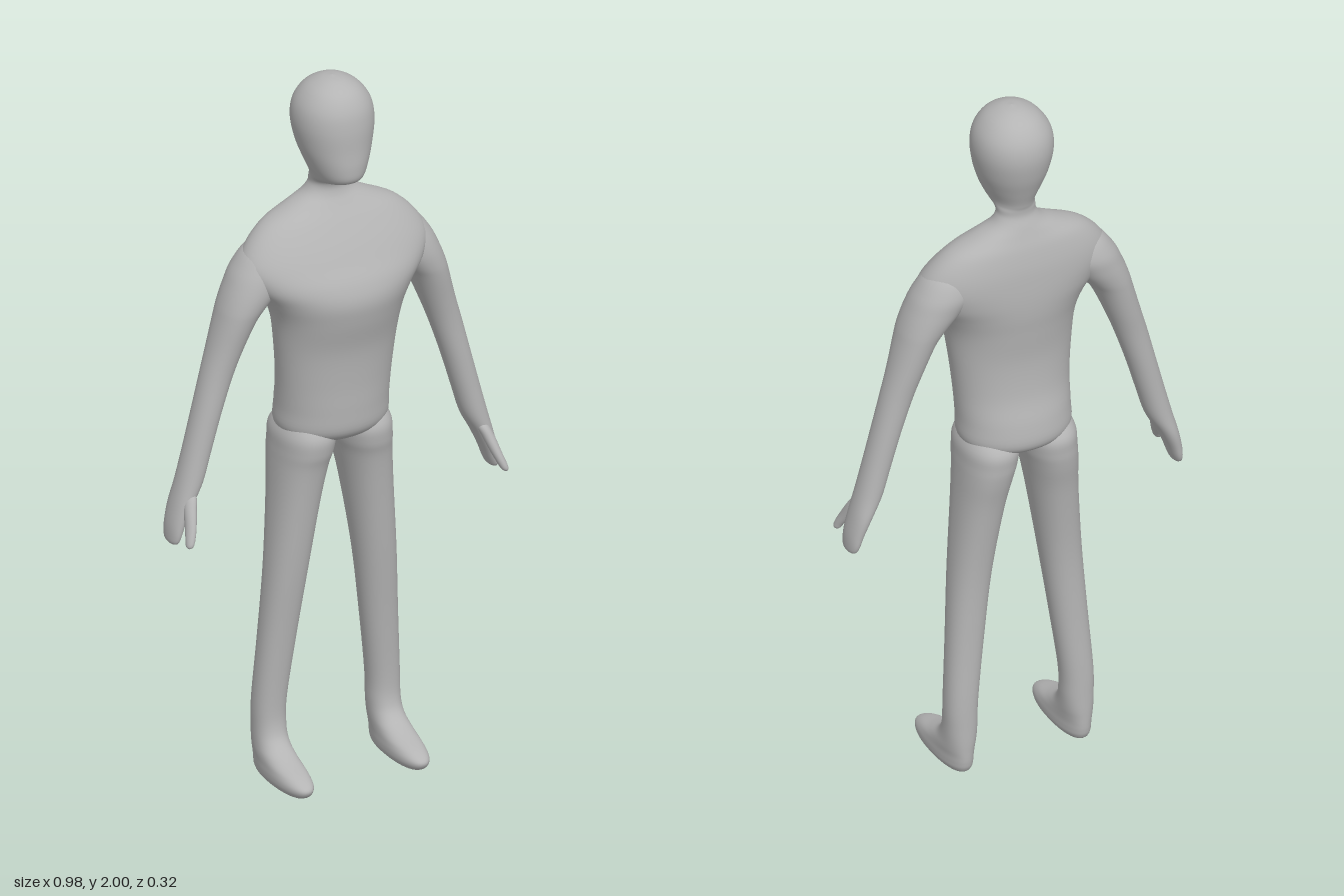
import * as THREE from 'three';

const skin = new THREE.MeshStandardMaterial({ color: 0xb4b4b4 });
skin.name = 'plain grey';

// Signed power, used to make a ring slightly squarer than an ellipse
const spow = (v, p) => Math.sign(v) * Math.abs(v) ** p;

// Smooth loft through level rings listed from top to bottom:
// [height, centre x, half width, front z, back z]
function loft(name, rings, side = 1, power = 1, segments = 48, steps = 5) {
  const spline = new THREE.CubicInterpolant(rings.map((r, i) => i), rings.flat(), 5);
  const rows = (rings.length - 1) * steps;
  const positions = [], index = [];
  for (let i = 0; i <= rows; i++) {
    const [y, cx, w, front, back] = spline.evaluate(i / steps);
    for (let j = 0; j < segments; j++) {
      const a = (j / segments) * Math.PI * 2;
      positions.push(
        side * cx + w * spow(Math.cos(a), power),
        y,
        (front + back) / 2 + ((front - back) / 2) * spow(Math.sin(a), power));
      if (i === rows) continue;
      const k = (j + 1) % segments, p = i * segments, q = p + segments;
      index.push(p + j, p + k, q + j, p + k, q + k, q + j);
    }
  }
  const geometry = new THREE.BufferGeometry();
  geometry.setAttribute('position', new THREE.Float32BufferAttribute(positions, 3));
  geometry.setIndex(index);
  geometry.computeVertexNormals();
  const mesh = new THREE.Mesh(geometry, skin);
  mesh.name = name;
  return mesh;
}

// Head, neck, shoulders and torso down to the crotch
const trunk = [
  [2.0, 0, 0, -0.025, -0.025],
  [1.993, 0, 0.035, 0.015, -0.065],
  [1.97, 0, 0.073, 0.055, -0.105],
  [1.93, 0, 0.1, 0.08, -0.132],
  [1.88, 0, 0.107, 0.09, -0.14],
  [1.82, 0, 0.097, 0.092, -0.13],
  [1.77, 0, 0.08, 0.094, -0.113],
  [1.735, 0, 0.065, 0.088, -0.1],
  [1.718, 0, 0.058, 0.06, -0.095],
  [1.705, 0, 0.054, 0.01, -0.092],
  [1.685, 0, 0.055, -0.004, -0.093],
  [1.66, 0, 0.075, 0.0, -0.104],
  [1.635, 0, 0.125, 0.015, -0.114],
  [1.6, 0, 0.197, 0.04, -0.127],
  [1.55, 0, 0.248, 0.072, -0.138],
  [1.5, 0, 0.27, 0.1, -0.143],
  [1.45, 0, 0.25, 0.127, -0.145],
  [1.4, 0, 0.21, 0.139, -0.143],
  [1.34, 0, 0.183, 0.13, -0.136],
  [1.25, 0, 0.17, 0.107, -0.128],
  [1.15, 0, 0.16, 0.097, -0.134],
  [1.07, 0, 0.156, 0.094, -0.153],
  [1.01, 0, 0.154, 0.088, -0.158],
  [0.98, 0, 0.12, 0.06, -0.13],
  [0.965, 0, 0.07, 0.02, -0.08],
  [0.96, 0, 0, -0.03, -0.03],
];

// Shoulder to fingertips
const arm = [
  [1.57, 0.16, 0, -0.035, -0.035],
  [1.55, 0.18, 0.06, 0.02, -0.09],
  [1.5, 0.2, 0.085, 0.042, -0.113],
  [1.45, 0.232, 0.078, 0.047, -0.112],
  [1.4, 0.265, 0.064, 0.043, -0.106],
  [1.36, 0.286, 0.054, 0.036, -0.1],
  [1.28, 0.315, 0.047, 0.021, -0.09],
  [1.2, 0.342, 0.043, 0.012, -0.081],
  [1.1, 0.372, 0.039, 0.01, -0.077],
  [1.0, 0.4, 0.037, 0.01, -0.075],
  [0.92, 0.423, 0.035, 0.012, -0.076],
  [0.86, 0.447, 0.027, 0.012, -0.078],
  [0.81, 0.464, 0.021, 0.01, -0.073],
  [0.775, 0.472, 0.016, 0.007, -0.068],
  [0.757, 0.475, 0.011, -0.002, -0.056],
  [0.751, 0.475, 0, -0.028, -0.028],
];

const thumb = [
  [0.91, 0.43, 0, -0.015, -0.015],
  [0.89, 0.433, 0.015, 0.014, -0.03],
  [0.86, 0.443, 0.016, 0.034, -0.01],
  [0.82, 0.454, 0.014, 0.055, 0.015],
  [0.79, 0.464, 0.012, 0.067, 0.036],
  [0.775, 0.469, 0.009, 0.068, 0.045],
  [0.768, 0.471, 0, 0.058, 0.058],
];

// Hip to sole; the lowest rings stretch forward to form the foot
const leg = [
  [1.07, 0.08, 0, -0.03, -0.03],
  [1.05, 0.08, 0.045, 0.03, -0.09],
  [1.0, 0.082, 0.075, 0.072, -0.146],
  [0.95, 0.087, 0.076, 0.073, -0.151],
  [0.9, 0.095, 0.071, 0.061, -0.145],
  [0.8, 0.108, 0.064, 0.047, -0.125],
  [0.6, 0.131, 0.056, 0.025, -0.102],
  [0.4, 0.151, 0.05, 0.001, -0.1],
  [0.22, 0.168, 0.045, -0.014, -0.107],
  [0.14, 0.17, 0.044, -0.01, -0.109],
  [0.1, 0.171, 0.044, 0.015, -0.11],
  [0.075, 0.172, 0.045, 0.065, -0.11],
  [0.055, 0.172, 0.046, 0.125, -0.11],
  [0.037, 0.172, 0.047, 0.156, -0.109],
  [0.02, 0.172, 0.045, 0.155, -0.105],
  [0.006, 0.172, 0.035, 0.135, -0.092],
  [0.001, 0.172, 0.018, 0.09, -0.05],
  [0.0, 0.172, 0, 0.02, 0.02],
];

export function createModel() {
  const model = new THREE.Group();
  model.name = 'figure';
  model.add(loft('headAndTorso', trunk, 1, 0.95, 64));
  for (const [label, side] of [['left', 1], ['right', -1]]) {
    model.add(
      loft(label + 'Arm', arm, side, 0.95),
      loft(label + 'Thumb', thumb, side, 1, 20),
      loft(label + 'LegAndFoot', leg, side, 0.9));
  }
  return model;
}
